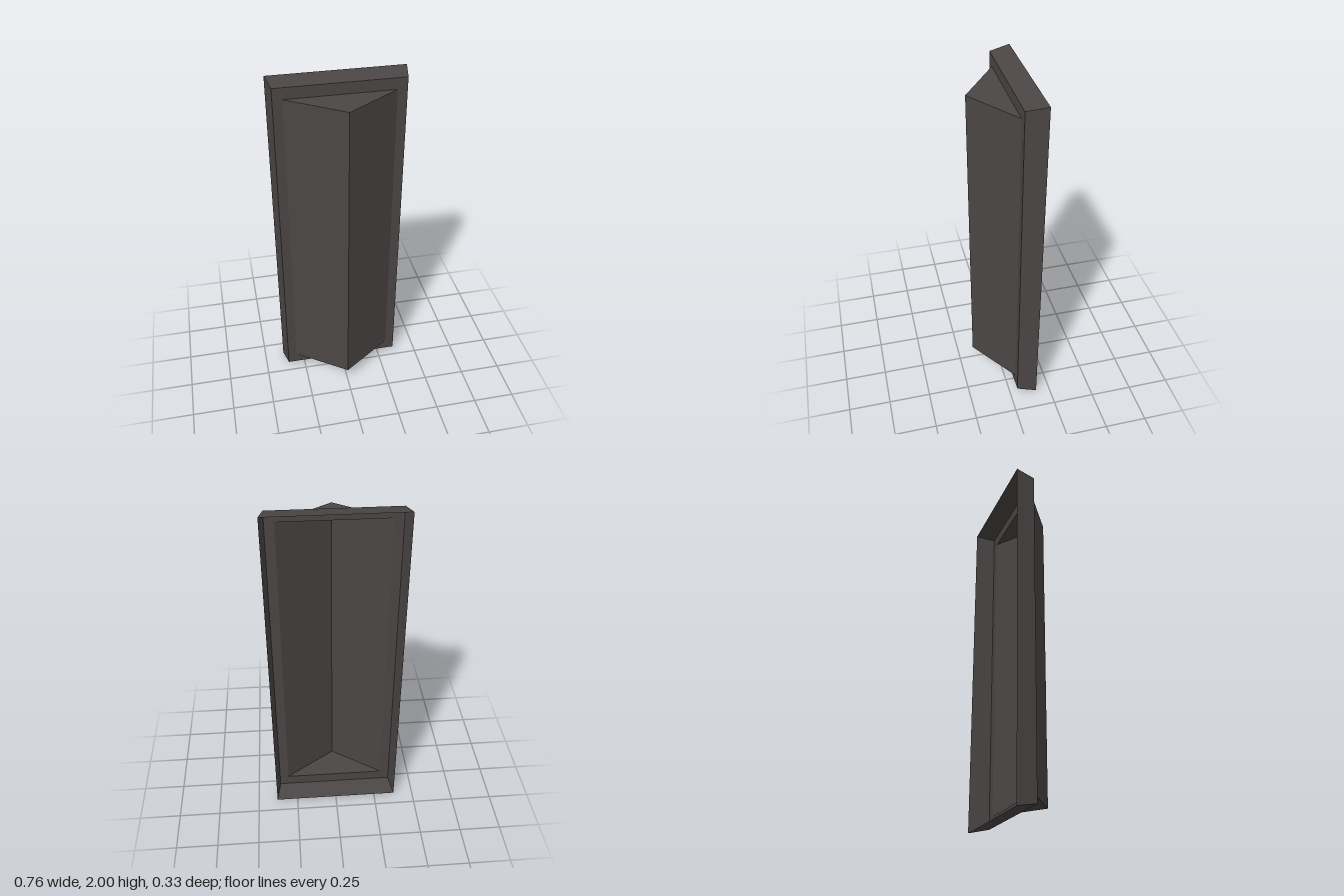
import * as THREE from 'three';

const darkStone = new THREE.MeshStandardMaterial({ color: 0x4b4645, side: THREE.DoubleSide });
darkStone.name = 'darkBrownGrey';

// Flat-faced mesh from polygons, each given as counter-clockwise corners seen from outside
function facetMesh(name, polygons) {
  const points = [];
  for (const p of polygons) {
    for (let i = 1; i < p.length - 1; i++) points.push(...p[0], ...p[i], ...p[i + 1]);
  }
  const geometry = new THREE.BufferGeometry();
  geometry.setAttribute('position', new THREE.Float32BufferAttribute(points, 3));
  geometry.computeVertexNormals();
  const mesh = new THREE.Mesh(geometry, darkStone);
  mesh.name = name;
  return mesh;
}

// Rectangle corners, counter-clockwise from the front
const rectangle = (halfWidth, bottom, top, z) => [
  [-halfWidth, bottom, z], [halfWidth, bottom, z], [halfWidth, top, z], [-halfWidth, top, z],
];

// Band of four faces from an outer rectangle to an inner one
const band = (outer, inner) => outer.map((corner, i) => {
  const next = (i + 1) % 4;
  return [corner, outer[next], inner[next], inner[i]];
});

export function createModel() {
  const group = new THREE.Group();
  group.name = 'wedgePanel';

  const backEdge = rectangle(0.38, 0, 2, -0.165);
  const frontEdge = rectangle(0.357, 0.023, 1.98, -0.048);
  const opening = rectangle(0.303, 0.088, 1.915, -0.048);

  // Tapered tray walls, open at the back
  group.add(facetMesh('frameWalls', band(backEdge, frontEdge)));

  // Flat rim around the opening
  group.add(facetMesh('frontRim', band(frontEdge, opening)));

  // Hollow triangular ridge rising from the opening
  const [lowRight, lowLeft, highLeft, highRight] = opening;
  const ridgeLow = [0, 0.088, 0.163];
  const ridgeHigh = [0, 1.915, 0.163];
  group.add(facetMesh('wedgeRidge', [
    [lowRight, ridgeLow, ridgeHigh, highRight],
    [ridgeLow, lowLeft, highLeft, ridgeHigh],
    [highRight, ridgeHigh, highLeft],
    [lowRight, lowLeft, ridgeLow],
  ]));

  return group;
}
